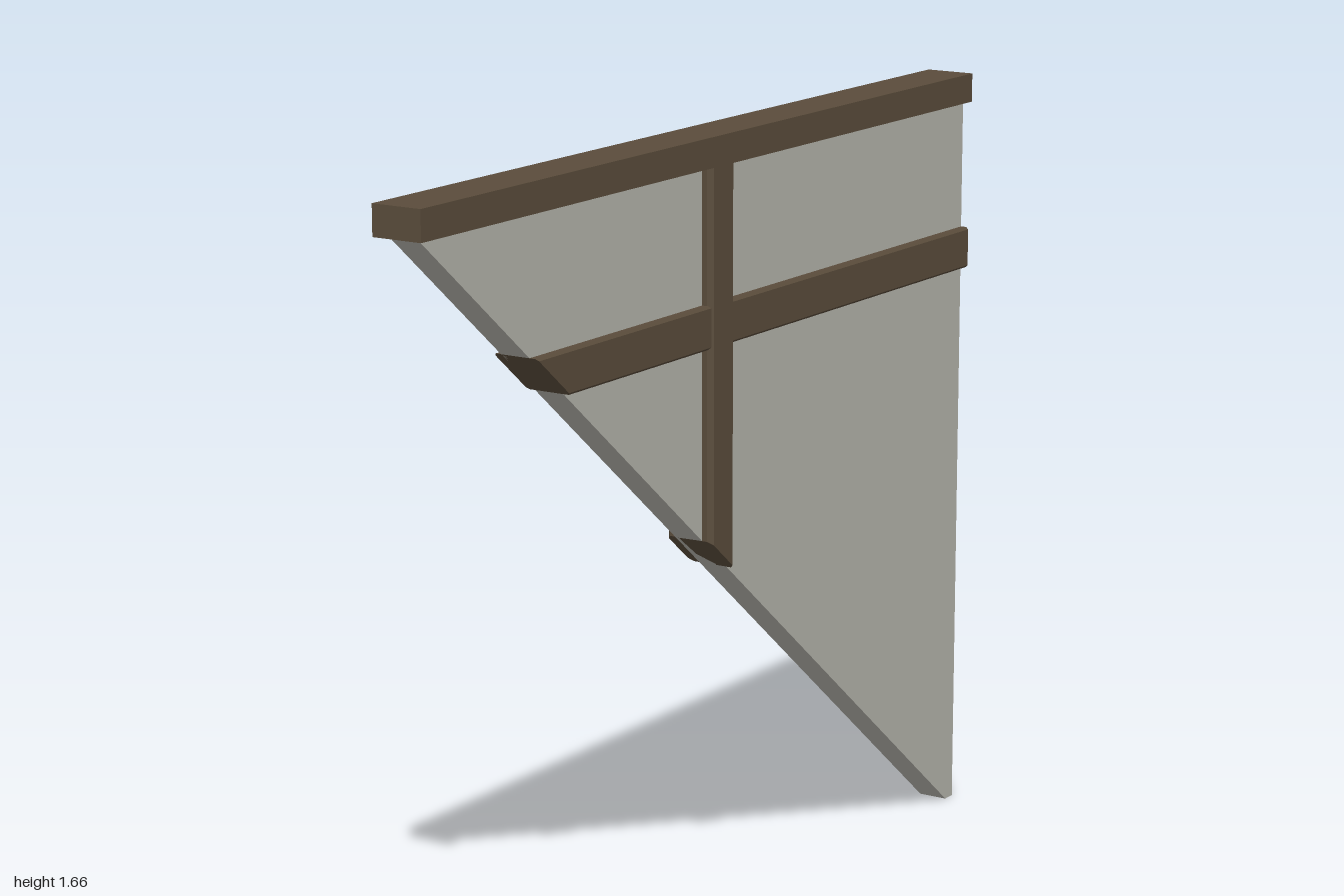
import * as THREE from 'three';

// Sloping lower edge of the panel, as y from z and z from y
const TOP = 1.6, FRONT = 0.98, FOOT = -0.97;
const K = TOP / (FRONT - FOOT);
const slopeY = z => (z - FOOT) * K;
const slopeZ = y => FOOT + y / K;

// Chamfered rectangular section centred on the origin
function section(hw, hh, c) {
  return new THREE.Shape([
    [-hw + c, -hh], [hw - c, -hh], [hw, -hh + c], [hw, hh - c],
    [hw - c, hh], [-hw + c, hh], [-hw, hh - c], [-hw, -hh + c],
  ].map(p => new THREE.Vector2(...p)));
}

// Extrude a shape one unit, then move each vertex by a rule
function sweep(shape, rule) {
  const geo = new THREE.ExtrudeGeometry(shape, { depth: 1, bevelEnabled: false });
  const p = geo.attributes.position;
  for (let i = 0; i < p.count; i++) p.setXYZ(i, ...rule(p.getX(i), p.getY(i), p.getZ(i)));
  geo.computeVertexNormals();
  return geo;
}

export function createModel() {
  const group = new THREE.Group();
  const wood = new THREE.MeshStandardMaterial({ color: 0x5a4c3b });
  wood.name = 'dark wood';
  const plaster = new THREE.MeshStandardMaterial({ color: 0xb5b4ac });
  plaster.name = 'pale plaster';

  const add = (name, geo, mat) => {
    const mesh = new THREE.Mesh(geo, mat);
    mesh.name = name;
    group.add(mesh);
    return mesh;
  };

  // Triangular infill panel, drawn in the z-y plane
  const outline = new THREE.Shape(
    [[-1, 0], [FOOT, 0], [FRONT, TOP], [-1, TOP]].map(p => new THREE.Vector2(...p)));
  add('panel', sweep(outline, (z, y, t) => [0.033 - t * 0.066, y, z]), plaster);

  // Top rail along the full length
  add('topRail', new THREE.BoxGeometry(0.11, 0.062, 2), wood).position.y = TOP + 0.031;

  // Horizontal rail, its front end cut along the slope
  add('crossRail', sweep(section(0.051, 0.045, 0.005), (x, b, t) => {
    const y = 1.276 + b;
    return [x, y, -1 + t * (slopeZ(y) + 1)];
  }), wood);

  // Upright post, its foot cut along the slope
  add('post', sweep(section(0.055, 0.045, 0.01), (x, b, t) => {
    const z = -b;
    return [x, THREE.MathUtils.lerp(slopeY(z), TOP, t), z];
  }), wood);

  return group;
}
